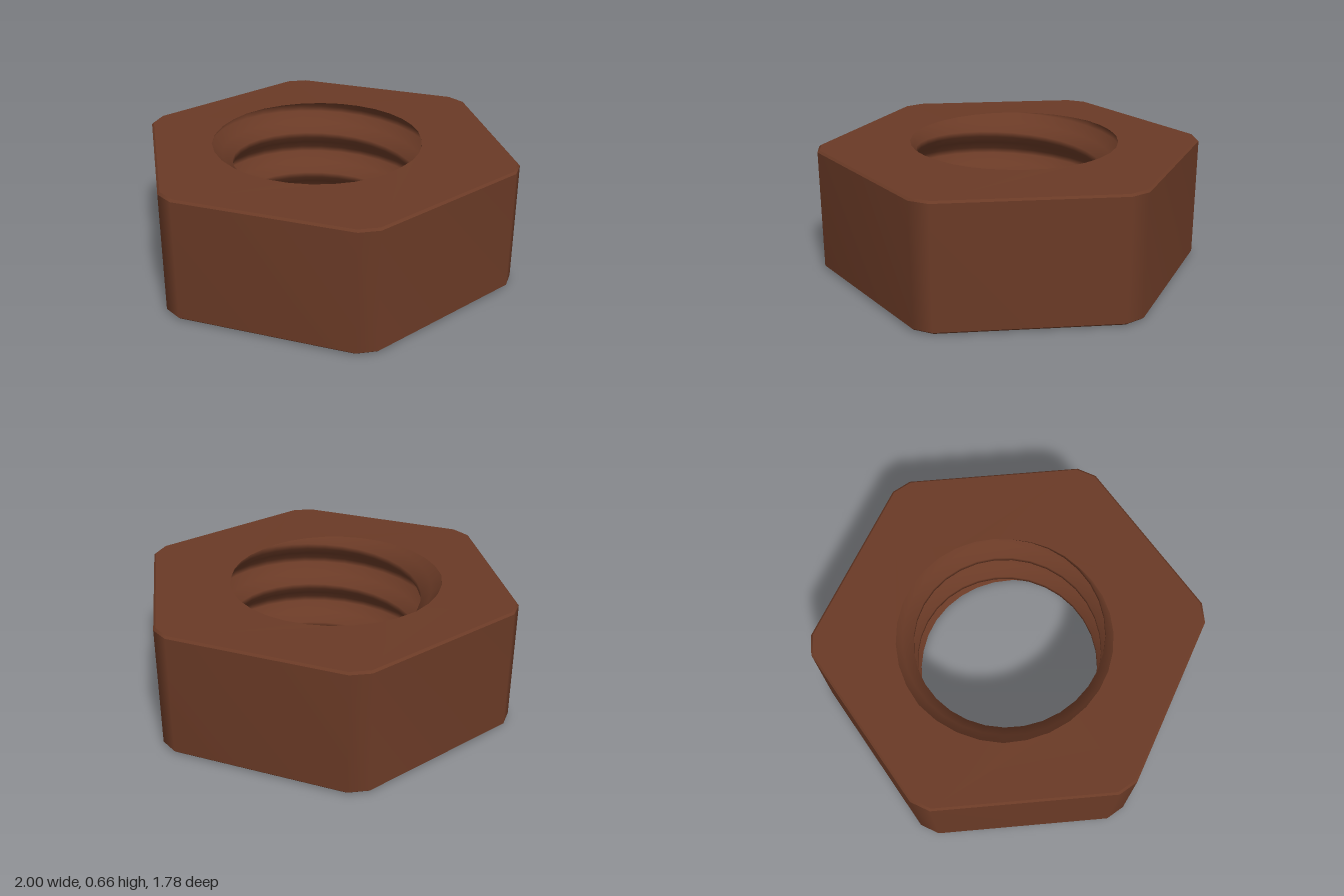
import * as THREE from 'three';
import { mergeVertices } from 'three/addons/utils/BufferGeometryUtils.js';

const H = 0.66;        // height
const PITCH = 0.25;    // thread pitch
const CREST = 0.495, ROOT = 0.6;
const SEGS = 32;
const TAU = Math.PI * 2;

// Hexagon with clipped corners, anticlockwise seen from above, as [x, -z]
function hexOutline(scale) {
  const points = [];
  for (let i = 0; i < 6; i++) {
    for (const side of [-1, 1]) {
      const a = i * Math.PI / 3 + side * 0.053;
      points.push(new THREE.Vector2(Math.cos(a), Math.sin(a)).multiplyScalar(scale));
    }
  }
  return points;
}

// Bore radius at a height and angle: a trapezoid thread profile wound into a helix
function boreRadius(y, angle) {
  let p = (y - H) / PITCH - angle / TAU;
  p = Math.abs(p - Math.round(p));
  const t = THREE.MathUtils.clamp((p - 0.06) / 0.38, 0, 1);
  return CREST + (ROOT - CREST) * t;
}

function borePoint(y, angle) {
  const r = boreRadius(y, angle);
  return new THREE.Vector3(r * Math.cos(angle), y, -r * Math.sin(angle));
}

// Skin between stacked rows of points, running upward
function skin(rows, inward = false) {
  const n = rows[0].length;
  const index = [];
  for (let j = 0; j < rows.length - 1; j++) {
    for (let i = 0; i < n - 1; i++) {
      const a = j * n + i, b = a + 1, c = a + n, d = c + 1;
      if (inward) index.push(a, c, b, b, c, d);
      else index.push(a, b, c, b, d, c);
    }
  }
  let geometry = new THREE.BufferGeometry().setFromPoints(rows.flat());
  geometry.setIndex(index);
  geometry = mergeVertices(geometry, 1e-4);
  geometry.computeVertexNormals();
  return geometry;
}

function hexRow(scale, y) {
  const row = hexOutline(scale).map(p => new THREE.Vector3(p.x, y, -p.y));
  return [...row, row[0].clone()];
}

// End face: hexagon with the thread's cut outline as its hole, slightly crowned
function endFace(top) {
  const sign = top ? 1 : -1;
  const y = top ? H : 0;
  const shape = new THREE.Shape(hexOutline(0.988));
  const hole = [];
  for (let i = 0; i < SEGS; i++) {
    const p = borePoint(y, i / SEGS * TAU);
    hole.push(new THREE.Vector2(p.x, -p.z * sign));
  }
  shape.holes.push(new THREE.Path(hole));
  const geometry = new THREE.ShapeGeometry(shape);
  geometry.rotateX(-sign * Math.PI / 2);
  const pos = geometry.attributes.position;
  for (let i = 0; i < pos.count; i++) {
    const outer = Math.hypot(pos.getX(i), pos.getZ(i)) > 0.8;
    pos.setY(i, y - (outer ? sign * 0.006 : 0));
  }
  geometry.computeVertexNormals();
  return geometry;
}

// Rows follow the helix and are clipped at both end faces
function threadRows() {
  const rows = [];
  for (let turn = -4; turn <= 0; turn++) {
    for (const phase of [-0.06, 0.06, 0.25, 0.44, 0.56, 0.75]) {
      const row = [];
      for (let i = 0; i <= SEGS; i++) {
        const angle = i / SEGS * TAU;
        const y = H + PITCH * (turn + phase + angle / TAU);
        row.push(borePoint(THREE.MathUtils.clamp(y, 0, H), angle));
      }
      rows.push(row);
    }
  }
  return rows;
}

export function createModel() {
  const brown = new THREE.MeshStandardMaterial({ color: 0x6a3a26 });
  brown.name = 'rustBrown';
  const nut = new THREE.Group();
  nut.name = 'hexNut';

  const add = (name, geometry) => {
    const mesh = new THREE.Mesh(geometry, brown);
    mesh.name = name;
    nut.add(mesh);
  };

  // Outer walls and their narrow bevels
  add('hexSides', skin([hexRow(1, 0.016), hexRow(1, H - 0.016)]));
  add('topBevel', skin([hexRow(1, H - 0.016), hexRow(0.988, H - 0.006)]));
  add('bottomBevel', skin([hexRow(0.988, 0.006), hexRow(1, 0.016)]));

  // End faces
  add('topFace', endFace(true));
  add('bottomFace', endFace(false));

  // Threaded bore
  add('innerThread', skin(threadRows(), true));

  return nut;
}
